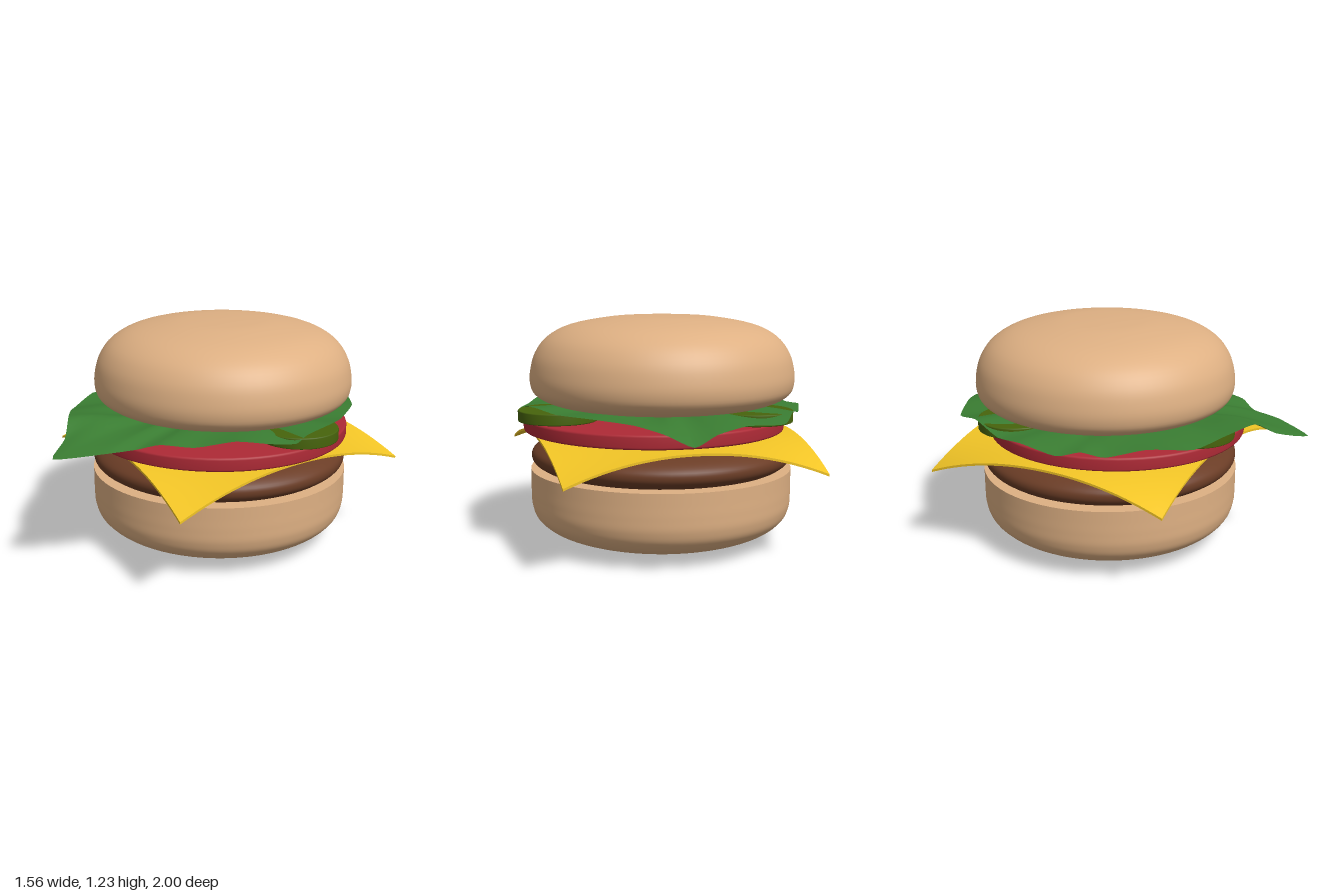
import * as THREE from 'three';

const mat = (color, side = THREE.FrontSide) =>
  new THREE.MeshStandardMaterial({ color, side, roughness: 0.8 });

const BUN = mat(0xdeb083);
const PATTY = mat(0x6b3d26);
const CHEESE = mat(0xf2c526);
const TOMATO = mat(0xae2a36);
const PICKLE = mat(0x47640c);
const LETTUCE = mat(0x3a7d32, THREE.DoubleSide);

function named(name, geometry, material, x = 0, y = 0, z = 0) {
  const mesh = new THREE.Mesh(geometry, material);
  mesh.name = name;
  mesh.position.set(x, y, z);
  return mesh;
}

// Smooth round solid from [radius, height] points, listed bottom to top
function turned(profile, smooth = true) {
  let pts = profile.map(([r, y]) => new THREE.Vector2(r, y));
  if (smooth) {
    pts = new THREE.SplineCurve(pts).getPoints(48);
    pts.forEach((p) => { p.x = Math.max(p.x, 0); });
  }
  return new THREE.LatheGeometry(pts, 72);
}

// Round slice with softened rims
function slice(radius, height, bevel) {
  return turned([
    [0, 0], [radius - bevel, 0], [radius - bevel * 0.3, bevel * 0.3], [radius, bevel],
    [radius, height - bevel], [radius - bevel * 0.3, height - bevel * 0.3],
    [radius - bevel, height], [0, height],
  ], false);
}

// Square slice whose four corners droop
function cheeseGeometry() {
  const g = new THREE.BoxGeometry(2, 0.012, 2, 28, 1, 28);
  const p = g.attributes.position;
  const back = [[-0.68, -0.845], [0.65, -0.85]];
  const front = [[-0.745, 0.52], [0.73, 0.655]];
  const mix = THREE.MathUtils.lerp;
  for (let i = 0; i < p.count; i++) {
    const u = p.getX(i), v = p.getZ(i);
    const s = (u + 1) / 2, t = (v + 1) / 2;
    const x = mix(mix(back[0][0], back[1][0], s), mix(front[0][0], front[1][0], s), t);
    const z = mix(mix(back[0][1], back[1][1], s), mix(front[0][1], front[1][1], s), t);
    const drop = 0.13 * Math.pow(Math.abs(u * v), 2.1);
    p.setXYZ(i, x, p.getY(i) + 0.594 - drop, z - 0.025 * v * (1 - u * u));
  }
  g.computeVertexNormals();
  return g;
}

// Ruffled leaf: rings grow from the middle to an uneven rim of [x, y, z] points
function lettuceGeometry() {
  const rim = [
    [0.06, 0.665, -1], [0.17, 0.71, -0.9], [0.3, 0.745, -0.8], [0.48, 0.76, -0.66],
    [0.62, 0.755, -0.45], [0.7, 0.77, -0.3], [0.73, 0.755, -0.12], [0.76, 0.735, -0.02],
    [0.7, 0.74, 0.1], [0.62, 0.76, 0.25], [0.51, 0.73, 0.42], [0.4, 0.74, 0.55],
    [0.32, 0.71, 0.64], [0.26, 0.7, 0.8], [0.12, 0.675, 1], [-0.02, 0.71, 0.86],
    [-0.13, 0.775, 0.78], [-0.3, 0.765, 0.68], [-0.46, 0.73, 0.57], [-0.6, 0.75, 0.38],
    [-0.7, 0.715, 0.2], [-0.73, 0.735, 0.08], [-0.78, 0.715, -0.03], [-0.75, 0.74, -0.25],
    [-0.68, 0.72, -0.42], [-0.57, 0.755, -0.62], [-0.46, 0.72, -0.79], [-0.24, 0.735, -0.88],
    [-0.07, 0.71, -0.94],
  ].map((q) => new THREE.Vector3(...q));
  const around = 116, rings = 14;
  const edge = new THREE.CatmullRomCurve3(rim, true, 'catmullrom', 0.3).getPoints(around);
  const pos = [], index = [];
  for (let r = 0; r <= rings; r++) {
    const k = r / rings;
    for (let a = 0; a <= around; a++) {
      const e = edge[a];
      const ruffle = 0.016 * Math.sin(a * 0.65) * Math.sin(Math.PI * k) * k;
      // a raised fold just inside the front point
      const fold = 0.03 * Math.exp(-((e.x * k + 0.05) ** 2 + (e.z * k - 0.68) ** 2) / 0.02);
      const y = THREE.MathUtils.lerp(0.757, e.y, k ** 4) + ruffle + fold;
      pos.push(e.x * k, y, -0.08 * (1 - k) + e.z * k);
    }
  }
  const row = around + 1;
  for (let r = 0; r < rings; r++) {
    for (let a = 0; a < around; a++) {
      const i = r * row + a, j = i + row;
      index.push(i, i + 1, j, i + 1, j + 1, j);
    }
  }
  const g = new THREE.BufferGeometry();
  g.setAttribute('position', new THREE.Float32BufferAttribute(pos, 3));
  g.setIndex(index);
  g.computeVertexNormals();
  return g;
}

export function createModel() {
  const burger = new THREE.Group();
  burger.name = 'burger';

  // Bottom bun: rounded underside, flat cut top
  const bottomBun = new THREE.Group();
  bottomBun.name = 'bottomBun';
  bottomBun.position.set(-0.005, 0, -0.1);
  bottomBun.add(
    named('bottomCrust', turned([
      [0, 0], [0.25, 0.006], [0.45, 0.028], [0.6, 0.075], [0.68, 0.135],
      [0.708, 0.2], [0.713, 0.27], [0.713, 0.34], [0.713, 0.405],
    ]), BUN),
    named('cutFace', new THREE.CircleGeometry(0.713, 72).rotateX(-Math.PI / 2), BUN, 0, 0.405),
  );
  burger.add(bottomBun);

  // Patty
  burger.add(named('patty', turned([
    [0, 0.4], [0.35, 0.4], [0.6, 0.403], [0.68, 0.43], [0.708, 0.47],
    [0.69, 0.515], [0.6, 0.555], [0.4, 0.578], [0.2, 0.583], [0, 0.584],
  ]), PATTY, -0.005, 0, -0.1));

  burger.add(named('cheese', cheeseGeometry(), CHEESE));
  burger.add(named('tomato', slice(0.713, 0.073, 0.012), TOMATO, 0.028, 0.613, -0.07));

  // Three pickles around the tomato
  const pickle = slice(0.21, 0.06, 0.006);
  [[0.575, -0.19], [-0.15, 0.46], [-0.41, -0.46]].forEach(([x, z], i) =>
    burger.add(named(`pickle${i + 1}`, pickle, PICKLE, x, 0.688, z)));

  burger.add(named('lettuce', lettuceGeometry(), LETTUCE));

  // Top bun
  burger.add(named('topBun', turned([
    [0, 0.737], [0.3, 0.738], [0.5, 0.75], [0.62, 0.775], [0.69, 0.815], [0.713, 0.87],
    [0.711, 0.94], [0.685, 1.03], [0.62, 1.115], [0.5, 1.178], [0.3, 1.217], [0.15, 1.227], [0, 1.23],
  ]), BUN, -0.005, 0, -0.124));

  return burger;
}
